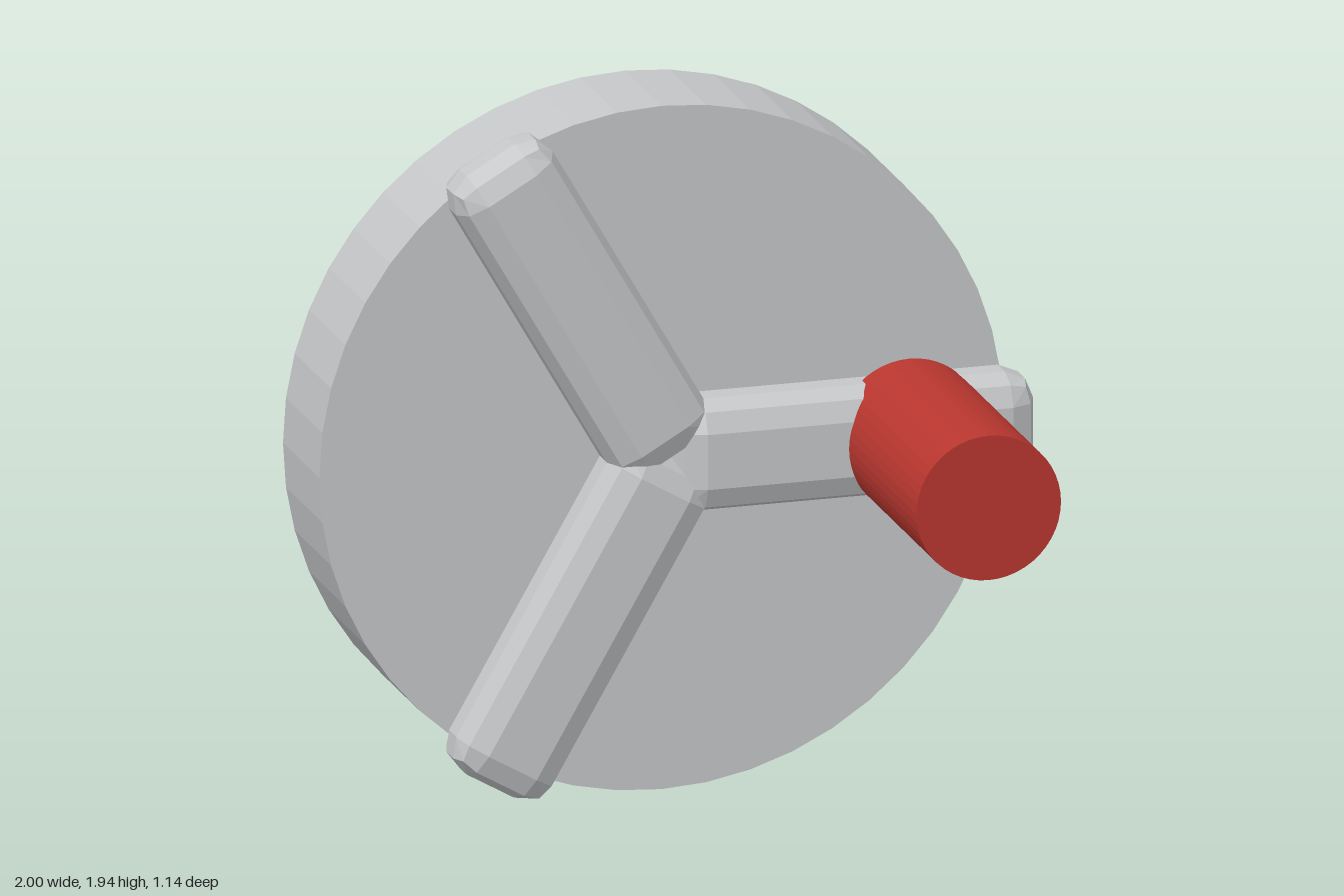
import * as THREE from 'three';
import { RoundedBoxGeometry } from 'three/addons/geometries/RoundedBoxGeometry.js';

const CX = -0.03, CY = 0.972; // wheel axis

// Faceted version of a geometry, so every panel keeps a flat normal
function faceted(geometry) {
  const flat = geometry.index ? geometry.toNonIndexed() : geometry;
  flat.computeVertexNormals();
  return flat;
}

function material(name, color) {
  const m = new THREE.MeshStandardMaterial({ color });
  m.name = name;
  return m;
}

// Cylinder lying along z between two depths
function rod(name, mat, radius, z0, z1, x, y, sides) {
  const g = new THREE.CylinderGeometry(radius, radius, z1 - z0, sides);
  g.rotateX(Math.PI / 2);
  const mesh = new THREE.Mesh(faceted(g), mat);
  mesh.name = name;
  mesh.position.set(x, y, (z0 + z1) / 2);
  return mesh;
}

export function createModel() {
  const grey = material('light grey', 0xc4c6c8);
  const red = material('red', 0xb8362f);
  const model = new THREE.Group();
  model.name = 'valveWheel';

  // Thick round disc
  model.add(rod('disc', grey, 0.97, -0.57, -0.23, CX, CY, 48));

  // Three bevelled spokes, starting at the axis
  const length = 1.026;
  const bar = new RoundedBoxGeometry(length, 0.316, 0.226, 1, 0.08);
  bar.translate(length / 2, 0, 0);
  const spokeGeometry = faceted(bar);
  const spokes = new THREE.Group();
  spokes.name = 'spokes';
  spokes.position.set(CX, CY, -0.172);
  for (let i = 0; i < 3; i++) {
    const spoke = new THREE.Mesh(spokeGeometry, grey);
    spoke.name = 'spoke' + (i + 1);
    spoke.rotation.z = (i * Math.PI * 2) / 3;
    spokes.add(spoke);
  }
  model.add(spokes);

  // Crank handle standing on the level spoke
  model.add(rod('handle', red, 0.205, -0.172, 0.57, 0.655, CY + 0.003, 48));

  return model;
}
